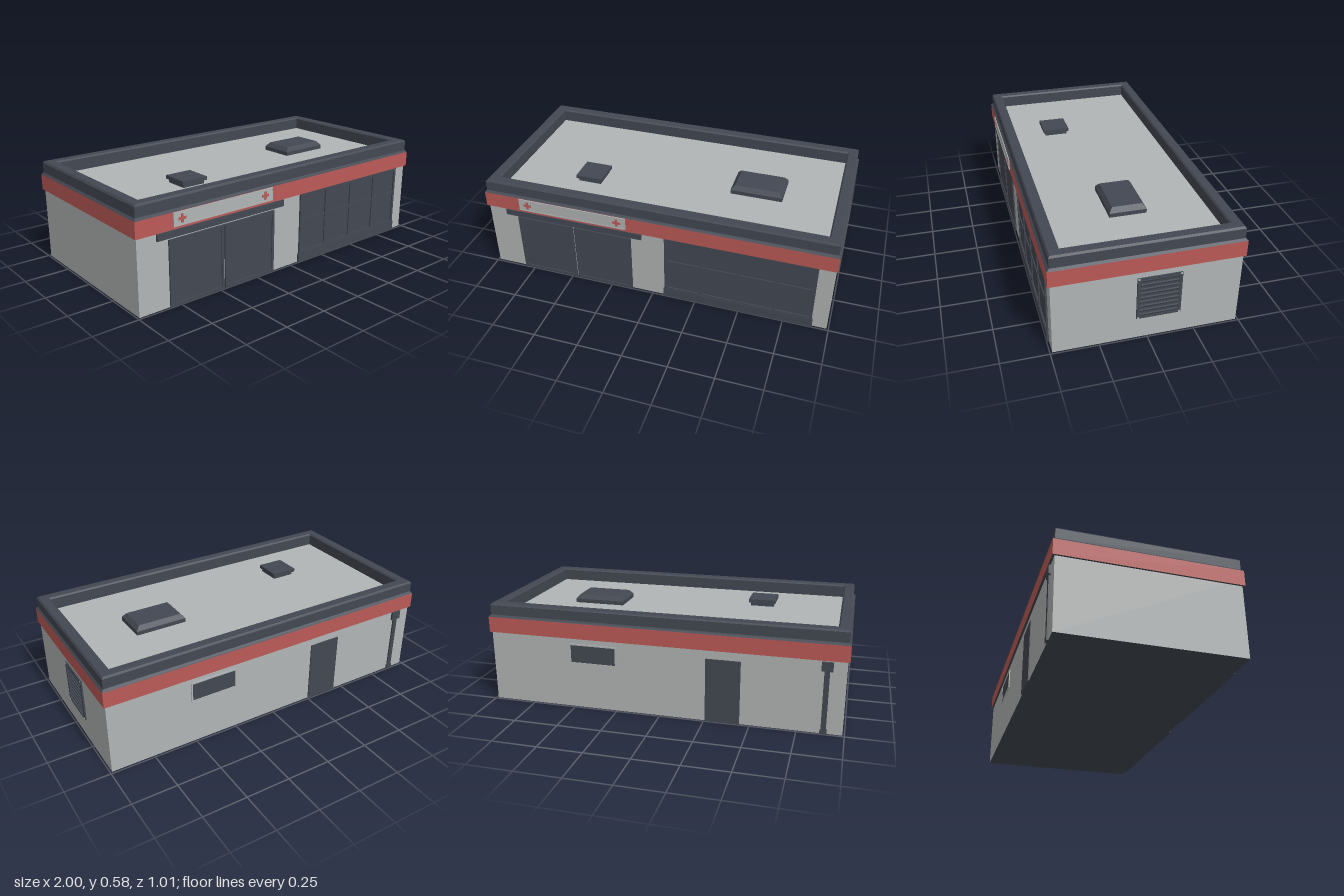
import * as THREE from 'three';

const mat = (name, color) => new THREE.MeshStandardMaterial({ name, color });

// Flat-faced loft through stacked rectangles [halfX, halfZ, y], optionally closed on top
function rectLoft(rows, cap) {
  const pos = [];
  const corner = ([x, z, y], i) => [[x, y, z], [x, y, -z], [-x, y, -z], [-x, y, z]][i % 4];
  const quad = (a, b, c, d) => pos.push(...a, ...b, ...c, ...a, ...c, ...d);
  for (let r = 0; r < rows.length - 1; r++) {
    for (let i = 0; i < 4; i++) {
      quad(corner(rows[r], i), corner(rows[r], i + 1), corner(rows[r + 1], i + 1), corner(rows[r + 1], i));
    }
  }
  if (cap) quad(...[0, 1, 2, 3].map((i) => corner(rows[rows.length - 1], i)));
  const geo = new THREE.BufferGeometry();
  geo.setAttribute('position', new THREE.Float32BufferAttribute(pos, 3));
  geo.computeVertexNormals();
  return geo;
}

export function createModel() {
  const model = new THREE.Group();
  model.name = 'shopBuilding';
  const grey = mat('wallGrey', 0xb2b5b5);
  const dark = mat('slate', 0x434852);
  const red = mat('bandRed', 0xbb5a57);

  const add = (name, geo, material, parent = model) => {
    const mesh = new THREE.Mesh(geo, material);
    mesh.name = name;
    parent.add(mesh);
    return mesh;
  };
  // Box given by its limits on each axis
  const box = (name, [x0, x1], [y0, y1], [z0, z1], material, parent) => {
    const mesh = add(name, new THREE.BoxGeometry(x1 - x0, y1 - y0, z1 - z0), material, parent);
    mesh.position.set((x0 + x1) / 2, (y0 + y1) / 2, (z0 + z1) / 2);
    return mesh;
  };
  const group = (name) => {
    const g = new THREE.Group();
    g.name = name;
    model.add(g);
    return g;
  };
  // Border of four bars on the front wall
  const frame = (name, [x0, x1], [y0, y1], z, w, material, parent) => {
    box(name, [x0, x0 + w], [y0, y1], z, material, parent);
    box(name, [x1 - w, x1], [y0, y1], z, material, parent);
    box(name, [x0 + w, x1 - w], [y0, y0 + w], z, material, parent);
    box(name, [x0 + w, x1 - w], [y1 - w, y1], z, material, parent);
  };

  // Walls with dark underside, painted band, roof and parapet
  box('walls', [-0.99, 0.99], [0, 0.45], [-0.488, 0.488], [grey, grey, grey, dark, grey, grey]);
  box('band', [-1, 1], [0.41, 0.499], [-0.5, 0.5], [red, red, red, dark, red, red]);
  box('roof', [-0.94, 0.94], [0.49, 0.502], [-0.44, 0.44], grey);
  add('parapet', rectLoft([
    [1, 0.5, 0.499], [0.99, 0.488, 0.511], [0.99, 0.488, 0.566], [0.982, 0.481, 0.576],
    [0.936, 0.433, 0.576], [0.928, 0.425, 0.568], [0.928, 0.425, 0.5],
  ]), dark);

  // Roof hatches
  add('skylight', rectLoft([
    [0.148, 0.1, 0.5], [0.148, 0.1, 0.525], [0.126, 0.081, 0.55],
  ], true), dark).position.set(0.485, 0, 0);
  const hatch = group('roofHatch');
  box('hatchBase', [-0.535, -0.4], [0.5, 0.53], [0.095, 0.23], dark, hatch);
  box('hatchLid', [-0.546, -0.389], [0.522, 0.542], [0.084, 0.241], dark, hatch);

  // Sliding doors and their rail
  const doors = group('slidingDoors');
  for (const [x0, x1] of [[-0.812, -0.472], [-0.465, -0.125]]) {
    box('doorPanel', [x0, x1], [0, 0.36], [0.48, 0.491], dark, doors);
    frame('doorFrame', [x0, x1], [0, 0.36], [0.48, 0.496], 0.016, dark, doors);
  }
  box('doorRail', [-0.88, -0.062], [0.37, 0.406], [0.48, 0.5], dark, doors);

  // Sign panel with a plus mark at each end
  const sign = group('signPanel');
  box('signBoard', [-0.785, -0.15], [0.425, 0.495], [0.49, 0.503], grey, sign);
  frame('signRim', [-0.787, -0.148], [0.423, 0.497], [0.49, 0.505], 0.006, grey, sign);
  for (const x of [-0.736, -0.2]) {
    box('plusBar', [x - 0.023, x + 0.023], [0.453, 0.467], [0.5, 0.506], red, sign);
    box('plusPost', [x - 0.007, x + 0.007], [0.437, 0.483], [0.5, 0.5055], red, sign);
  }

  // Shop window: glass, mullions, transom and sill
  const win = group('shopWindow');
  box('glass', [0.07, 0.905], [0, 0.409], [0.48, 0.49], dark, win);
  frame('windowFrame', [0.07, 0.905], [0.05, 0.409], [0.48, 0.497], 0.016, dark, win);
  for (const x of [0.279, 0.488, 0.696]) {
    box('mullion', [x - 0.008, x + 0.008], [0.055, 0.4], [0.48, 0.497], dark, win);
  }
  box('transom', [0.08, 0.9], [0.242, 0.258], [0.48, 0.496], dark, win);
  box('sill', [0.065, 0.91], [0, 0.055], [0.48, 0.499], dark, win);

  // Louvred vent on the left wall
  const vent = group('sideVent');
  box('ventBack', [0.98, 0.993], [0.125, 0.372], [-0.172, 0.06], dark, vent);
  for (const z of [0.052, -0.164]) {
    box('ventStile', [0.98, 0.998], [0.125, 0.372], [z - 0.008, z + 0.008], dark, vent);
    for (const y of [0.13, 0.367]) {
      box('ventScrew', [0.99, 0.9995], [y - 0.005, y + 0.005], [z - 0.005, z + 0.005], grey, vent);
    }
  }
  for (const y of [0.131, 0.366]) {
    box('ventRail', [0.98, 0.998], [y - 0.006, y + 0.006], [-0.156, 0.044], dark, vent);
  }
  for (let i = 0; i < 9; i++) {
    const slat = box('slat', [0.986, 0.998], [0.141 + i * 0.026, 0.153 + i * 0.026], [-0.158, 0.046], dark, vent);
    slat.rotation.z = -0.35;
  }

  // Back wall: door, high window and drainpipe
  box('backDoor', [-0.445, -0.255], [0, 0.36], [-0.494, -0.48], dark);
  box('backWindow', [0.252, 0.514], [0.268, 0.372], [-0.492, -0.48], dark);
  frame('backWindowFrame', [0.246, 0.52], [0.262, 0.378], [-0.494, -0.48], 0.008, grey);
  const drain = group('drainpipe');
  box('pipe', [-0.904, -0.876], [0, 0.4], [-0.496, -0.48], dark, drain);
  box('pipeHead', [-0.92, -0.86], [0.352, 0.402], [-0.5, -0.48], dark, drain);
  box('pipeFoot', [-0.909, -0.871], [0, 0.025], [-0.498, -0.48], dark, drain);

  return model;
}
